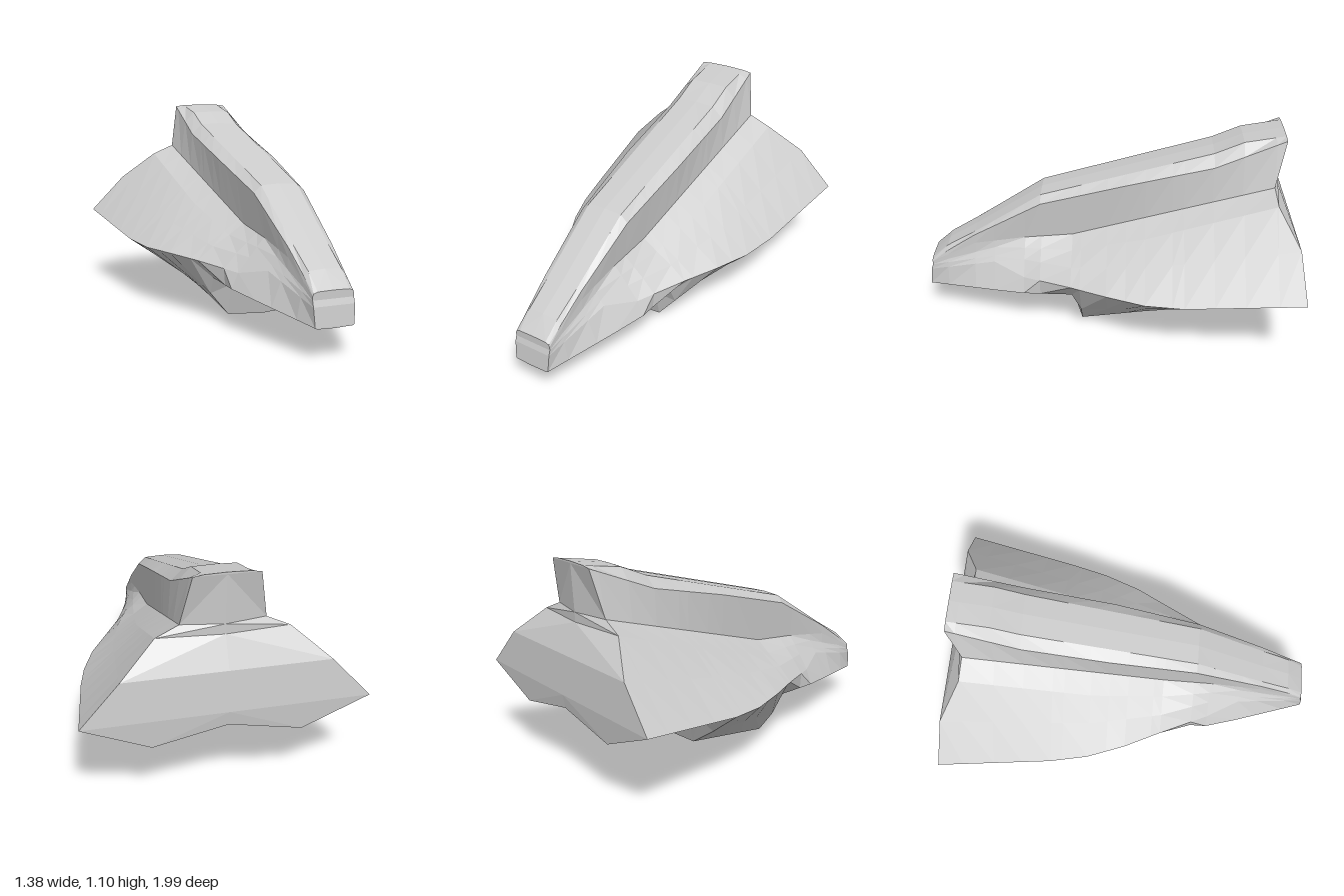
import * as THREE from 'three';

// Lengthwise rails of the right half, listed from keel to ridge.
// Each point is [z, x, y], running from nose to tail.
const rails = {
  keelCentre: [[1, 0, 0.157], [0.47, 0, 0.178], [0.19, 0, 0.18], [0.14, 0, 0], [-0.34, 0, 0.07],
    [-0.4, 0, 0.27], [-0.98, 0, 0.38]],
  keelEdge: [[1, 0.09, 0.16], [0.47, 0.2, 0.19], [0.19, 0.2, 0.19], [0.14, 0.2, 0.015], [-0.34, 0.2, 0.08],
    [-0.4, 0.2, 0.27], [-0.98, 0.2, 0.345]],
  bottomEdge: [[1, 0.1, 0.165], [0.47, 0.295, 0.235], [0.19, 0.3, 0.235], [0.14, 0.3, 0.14], [-0.34, 0.36, 0.19],
    [-0.4, 0.31, 0.27], [-0.98, 0.36, 0.31]],
  wingEdge: [[0.99, 0.105, 0.26], [0.62, 0.17, 0.355], [0.45, 0.26, 0.315], [0.19, 0.385, 0.335], [0, 0.48, 0.345],
    [-0.2, 0.555, 0.345], [-0.4, 0.6, 0.36], [-0.99, 0.69, 0.45]],
  wingOuter: [[0.98, 0.105, 0.29], [0.62, 0.15, 0.38], [0.45, 0.2, 0.39], [0.19, 0.3, 0.405], [-0.2, 0.4, 0.47],
    [-0.97, 0.5, 0.65]],
  wingInner: [[0.98, 0.105, 0.3], [0.62, 0.125, 0.42], [0.45, 0.16, 0.44], [0.19, 0.21, 0.46], [-0.2, 0.27, 0.57],
    [-0.87, 0.32, 0.8]],
  spineBase: [[0.98, 0.105, 0.31], [0.73, 0.115, 0.44], [0.45, 0.12, 0.485], [0.19, 0.13, 0.515],
    [-0.86, 0.205, 0.85]],
  spineShoulder: [[0.98, 0.1, 0.32], [0.73, 0.115, 0.49], [0.36, 0.14, 0.7], [-0.1, 0.165, 0.83],
    [-0.55, 0.17, 0.94], [-0.91, 0.158, 1.09]],
  spineTop: [[0.98, 0.08, 0.328], [0.89, 0.085, 0.405], [0.73, 0.09, 0.5], [0.36, 0.1, 0.737], [-0.55, 0.11, 0.995],
    [-0.7, 0.11, 1.06], [-0.91, 0.11, 1.097]],
  ridge: [[0.98, 0, 0.33], [0.89, 0, 0.41], [0.73, 0, 0.505], [0.36, 0, 0.742], [-0.55, 0, 1], [-0.7, 0, 1.063],
    [-0.91, 0, 1.1]],
};
const profile = Object.values(rails);
const stations = [1, 0.89, 0.73, 0.62, 0.45, 0.36, 0.19, 0.14, 0, -0.1, -0.2, -0.34, -0.4, -0.55, -0.7, -0.86, -1];

// Point on a rail at a given z, held at the rail's own ends
function sample(rail, z) {
  const first = rail[0], last = rail[rail.length - 1];
  if (z >= first[0]) return [first[1], first[2], first[0]];
  if (z <= last[0]) return [last[1], last[2], last[0]];
  const i = rail.findIndex((p) => p[0] <= z);
  const a = rail[i - 1], b = rail[i], t = (a[0] - z) / (a[0] - b[0]);
  return [a[1] + (b[1] - a[1]) * t, a[2] + (b[2] - a[2]) * t, z];
}

// Skin between neighbouring columns of points, mirrored to both sides
function skin(name, columns, material) {
  const pos = [];
  const triangle = (p, q, r, side) => {
    for (const v of side > 0 ? [p, q, r] : [p, r, q]) pos.push(v[0] * side, v[1], v[2]);
  };
  for (const side of [1, -1]) {
    for (let s = 0; s < columns.length - 1; s++) {
      for (let i = 0; i < columns[s].length - 1; i++) {
        const a = columns[s][i], b = columns[s][i + 1];
        const d = columns[s + 1][i], c = columns[s + 1][i + 1];
        triangle(a, d, c, side);
        triangle(a, c, b, side);
      }
    }
  }
  const geometry = new THREE.BufferGeometry();
  geometry.setAttribute('position', new THREE.Float32BufferAttribute(pos, 3));
  geometry.computeVertexNormals();
  const mesh = new THREE.Mesh(geometry, material);
  mesh.name = name;
  return mesh;
}

export function createModel() {
  const group = new THREE.Group();
  group.name = 'spacecraft';
  const material = new THREE.MeshStandardMaterial({ color: 0xcccccc, flatShading: true, side: THREE.DoubleSide });

  const sections = stations.map((z) => profile.map((rail) => sample(rail, z)));
  const nose = sections[0], tail = sections[sections.length - 1];

  // Body: keel block, swept wings and raised spine
  const hull = skin('hull', sections, material);

  // Blunt nose
  const noseCentre = nose.map(([, y, z]) => [0, y, z]);
  const noseCap = skin('noseCap', [noseCentre, nose], material);

  // Stern, notched along its lower middle
  const tailCentre = tail.map(([, y, z]) => [0, Math.max(y, 0.38), Math.min(z, -0.9)]);
  const stern = skin('stern', [tail, tailCentre], material);

  group.add(hull, noseCap, stern);
  return group;
}
